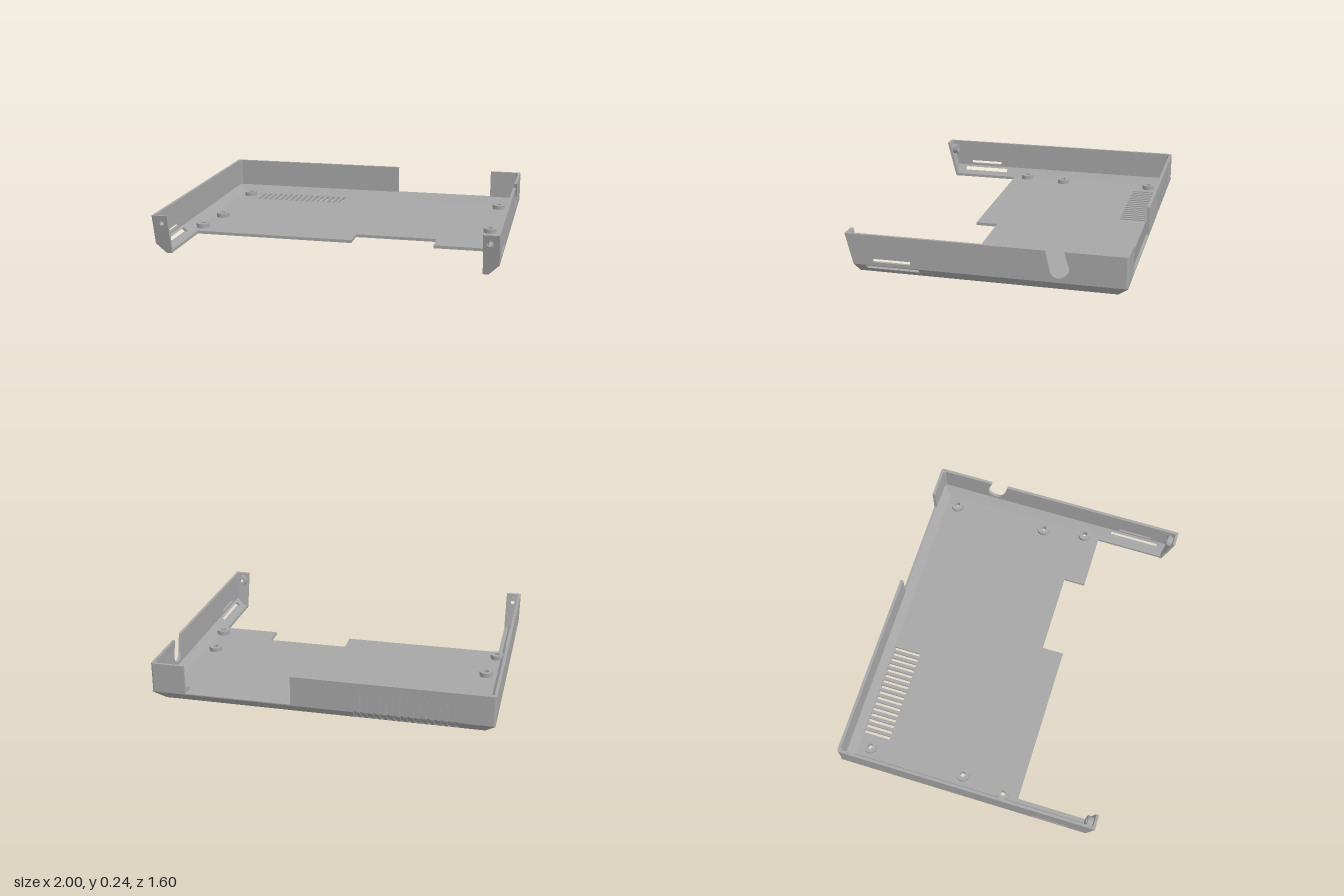
import * as THREE from 'three';

const HX = 1, HZ = 0.8, TOP = 0.24, WALL = 0.017, FLOOR = 0.018, SEAM = 0.066, SKIN = 0.009;
const frontAt = (y) => 0.74 + 0.25 * y; // leaning front end of the arms

// Wall foot sections as [inset from outside, height]
const foot = [[0, SEAM], [0, 0.06], [0.06, 0], [0.065, 0], [0.065, FLOOR], [WALL, SEAM]];
const footBelowSlot = [[0.03, 0.03], [0.06, 0], [0.065, 0], [0.065, FLOOR], [0.053, 0.03]];
const footAboveSlot = [[0, SEAM], [0, 0.06], [0.005, 0.055], [0.028, 0.055], [WALL, SEAM]];
const footRib = [[0, SEAM], [0, 0.06], [0.06, 0], [0.06, SKIN], [SKIN, 0.06], [SKIN, SEAM]];
const footInner = [[SKIN, SEAM], [SKIN, 0.06], [0.06, SKIN], [0.06, 0], [0.065, 0], [0.065, FLOOR], [WALL, SEAM]];

const shapeOf = (pts) => new THREE.Shape(pts.map((p) => new THREE.Vector2(p[0], p[1])));
const rectHole = (x0, y0, x1, y1) =>
  new THREE.Path([[x0, y0], [x0, y1], [x1, y1], [x1, y0]].map((p) => new THREE.Vector2(p[0], p[1])));
const circleHole = (x, y, r) => new THREE.Path().absarc(x, y, r, 0, Math.PI * 2, true);
const extrude = (shape, depth) =>
  new THREE.ExtrudeGeometry(shape, { depth, bevelEnabled: false, curveSegments: 16 });

// Runs a wall section between two end rules, so the ends can be mitred or leaning
function strip(section, half, start, end, turn) {
  const geo = extrude(shapeOf(section.map(([d, y]) => [half - d, y])), 1);
  const p = geo.attributes.position;
  for (let i = 0; i < p.count; i++) {
    const d = half - p.getX(i), y = p.getY(i);
    p.setZ(i, p.getZ(i) < 0.5 ? start(d, y) : end(d, y));
  }
  geo.rotateY(turn);
  geo.computeVertexNormals();
  return geo;
}

function ring(outer, inner, height) {
  const s = new THREE.Shape().absarc(0, 0, outer, 0, Math.PI * 2, false);
  s.holes.push(circleHole(0, 0, inner));
  return extrude(s, height);
}

export function createModel() {
  const model = new THREE.Group();
  model.name = 'enclosureBase';
  const grey = new THREE.MeshStandardMaterial({ color: 0xa6a6a6 });
  grey.name = 'grey plastic';
  const add = (name, geo) => {
    const m = new THREE.Mesh(geo, grey);
    m.name = name;
    model.add(m);
    return m;
  };

  // Vent slots
  const slots = [];
  const pitch = 0.0381, slotWidth = 0.019;
  for (let i = 0; i < 16; i++) {
    const x = -0.79 + i * pitch;
    slots.push([x, x + slotWidth]);
  }
  const bosses = [];
  for (const s of [-1, 1]) bosses.push([s * 0.87, -0.66], [s * 0.87, -0.06], [s * 0.91, 0.21]);

  // Floor with front cutout, arm strips, vents and screw holes
  const floor = shapeOf([[-0.935, -0.735], [0.935, -0.735], [0.935, 0.74], [0.91, 0.74], [0.91, 0.305],
    [0.57, 0.305], [0.57, 0.17], [0.07, 0.17], [0.07, 0.305], [-0.91, 0.305], [-0.91, 0.74], [-0.935, 0.74]]);
  for (const [a, b] of slots) floor.holes.push(rectHole(a, -0.73, b, -0.565));
  for (const [x, z] of bosses) floor.holes.push(circleHole(x, z, 0.016));
  add('floor', extrude(floor, FLOOR).rotateX(Math.PI / 2).translate(0, FLOOR, 0));

  // Screw bosses on the floor
  for (const [x, z] of bosses) {
    add('floorBoss', ring(0.04, 0.016, 0.028).rotateX(-Math.PI / 2).translate(x, FLOOR - 0.001, z));
  }

  for (const s of [-1, 1]) {
    const side = s > 0 ? 'left' : 'right';

    // Upright side wall, with a cable notch on one side only
    const w = new THREE.Shape();
    w.moveTo(-0.785, SEAM);
    w.lineTo(frontAt(SEAM), SEAM);
    w.lineTo(frontAt(TOP), TOP);
    if (s > 0) {
      w.lineTo(-0.345, TOP);
      w.lineTo(-0.371, 0.13);
      w.absarc(-0.424, 0.141, 0.055, -0.2, -Math.PI - 0.2, true);
      w.lineTo(-0.452, TOP);
    }
    w.lineTo(-0.785, TOP);
    w.holes.push(rectHole(0.42, 0.08, 0.64, 0.1));
    add(side + 'Wall', extrude(w, WALL).rotateY(-Math.PI / 2).translate(s > 0 ? HX : -HX + WALL, 0, 0));

    // Sloping foot of the side wall, opened by a long slot
    const run = (section, a, b) => add(side + 'WallFoot', s > 0
      ? strip(section, HX, a, b, 0)
      : strip(section, HX, (d, y) => -b(d, y), (d, y) => -a(d, y), Math.PI));
    const slotBack = () => 0.375, slotFront = () => 0.685;
    run(foot, (d) => d - HZ, slotBack);
    run(footBelowSlot, slotBack, slotFront);
    run(footAboveSlot, slotBack, slotFront);
    run(foot, slotFront, (d, y) => frontAt(y));

    // Leaning end plate of the arm with a screw hole
    const plate = shapeOf([[0.908, 0], [0.94, 0], [1, 0.06], [1, TOP], [0.908, TOP]].map(([x, y]) => [s * x, y]));
    plate.holes.push(circleHole(s * 0.952, 0.195, 0.025));
    const plateGeo = extrude(plate, 0.016);
    const p = plateGeo.attributes.position;
    for (let i = 0; i < p.count; i++) p.setZ(i, p.getZ(i) - 0.016 + frontAt(p.getY(i)));
    plateGeo.computeVertexNormals();
    add(side + 'EndPlate', plateGeo);
    const boss = add(side + 'EndBoss', ring(0.033, 0.014, 0.035));
    boss.position.set(s * 0.952, 0.195, 0.738);
    boss.rotation.x = Math.atan(0.25);

    // Rounded back corner
    add('backCorner', new THREE.CylinderGeometry(0.015, 0.015, TOP - SEAM, 24)
      .translate(s * 0.985, (TOP + SEAM) / 2, -0.785));
  }

  // Back wall: plain inner skin and grooved outer skin, then the short piece past the opening
  const h = TOP - SEAM, midY = (TOP + SEAM) / 2;
  add('backWallInner', new THREE.BoxGeometry(1.15, h, WALL - SKIN)
    .translate(-0.41, midY, -HZ + (WALL + SKIN) / 2));
  const skin = [[-0.985, TOP], [-0.985, SEAM]];
  for (const [a, b] of slots) skin.push([a, SEAM], [a, 0.19], [b, 0.19], [b, SEAM]);
  skin.push([0.165, SEAM], [0.165, TOP]);
  add('backWallOuter', extrude(shapeOf(skin), SKIN).translate(0, 0, -HZ));
  add('backWallShort', new THREE.BoxGeometry(0.185, h, WALL).translate(0.8925, midY, -HZ + WALL / 2));

  // Sloping foot of the back wall, with the grooves carried down it
  const at = (x) => () => x;
  const backRun = (name, section, a, b) => add(name, strip(section, HZ, a, b, Math.PI / 2));
  const first = slots[0][0], last = slots[15][1];
  backRun('backWallFoot', foot, (d) => d - HX, at(first));
  backRun('backWallFoot', footInner, at(first), at(last));
  backRun('backWallFoot', foot, at(last), (d) => HX - d);
  for (let i = 0; i < 15; i++) backRun('ventRib', footRib, at(slots[i][1]), at(slots[i + 1][0]));

  return model;
}
